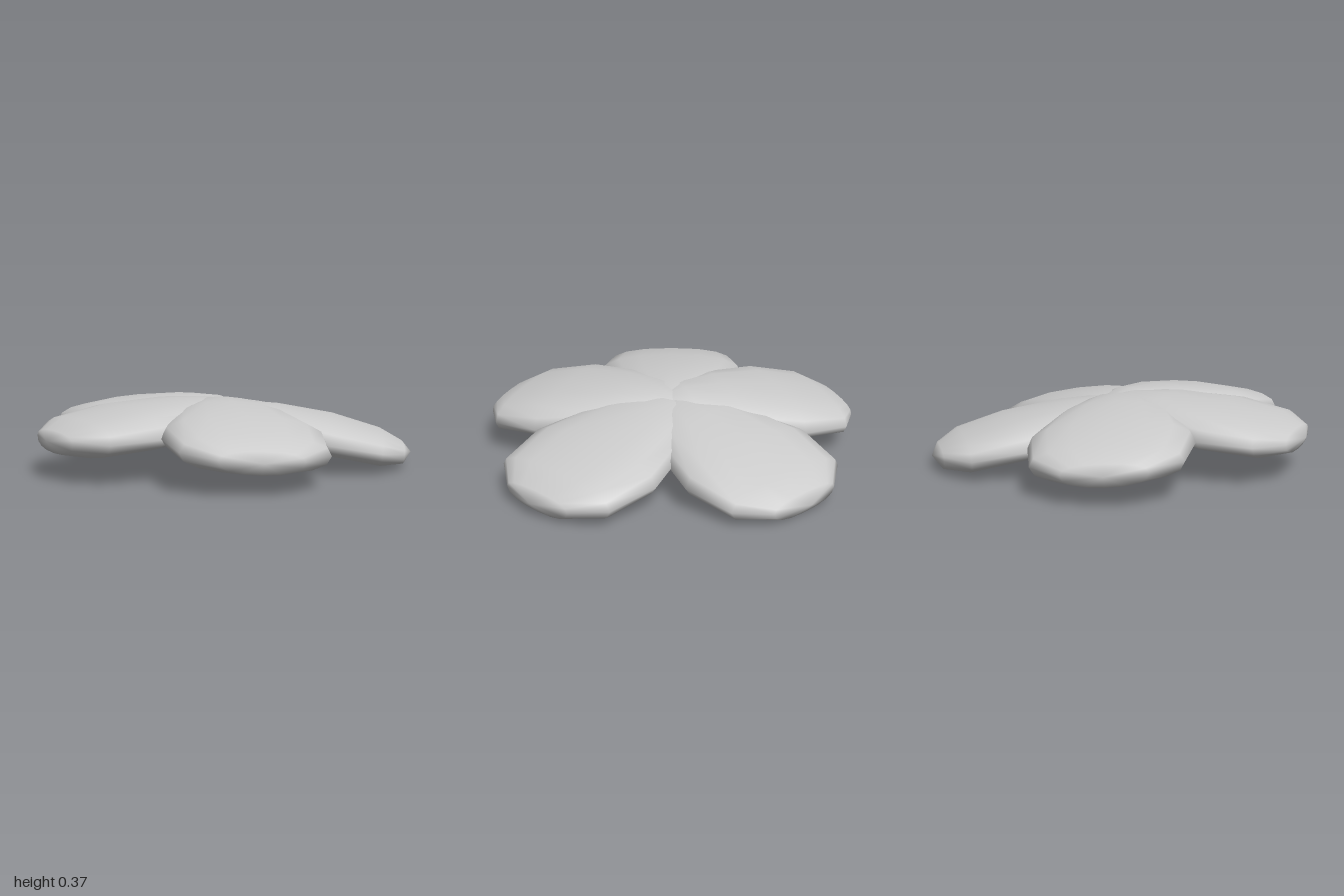
import * as THREE from 'three';
import { mergeVertices } from 'three/addons/utils/BufferGeometryUtils.js';

const material = new THREE.MeshStandardMaterial({ color: 0xcccccc, side: THREE.DoubleSide });

// Builds a smooth surface from a grid of points, closed around each ring
function loft(rows, sides, pointAt) {
  const positions = [], index = [];
  for (let i = 0; i < rows; i++)
    for (let j = 0; j < sides; j++) positions.push(...pointAt(i, (j / sides) * Math.PI * 2));
  for (let i = 0; i < rows - 1; i++)
    for (let j = 0; j < sides; j++) {
      const k = (j + 1) % sides;
      const a = i * sides + j, b = i * sides + k, c = a + sides, d = b + sides;
      index.push(a, b, d, a, d, c);
    }
  let g = new THREE.BufferGeometry();
  g.setAttribute('position', new THREE.Float32BufferAttribute(positions, 3));
  g.setIndex(index);
  g = mergeVertices(g, 1e-4);
  g.computeVertexNormals();
  return g;
}

// Petal cross-sections: distance from centre, half width, rise above and depth below the axis
const PETAL = [
  [-0.12, 0, 0, 0],
  [-0.08, 0.11, 0.065, 0.04],
  [0.08, 0.21, 0.112, 0.06],
  [0.30, 0.33, 0.13, 0.075],
  [0.60, 0.415, 0.126, 0.085],
  [0.865, 0.365, 0.09, 0.092],
  [0.985, 0.205, 0.045, 0.066],
  [1.03, 0, 0, 0],
];

function petalGeometry() {
  const soft = (v) => Math.sign(v) * Math.abs(v) ** 0.85;
  return loft(PETAL.length, 16, (i, t) => {
    const [r, w, up, down] = PETAL[i];
    const s = Math.sin(t);
    return [w * soft(Math.cos(t)), -0.115 * r + (s > 0 ? up : down) * soft(s), r];
  });
}

// Thin cup under the petals, its rim drooping in four lobes
function calyxGeometry() {
  const radii = [0, 0.07, 0.14, 0.2, 0.24, 0.26];
  return loft(radii.length, 32, (i, t) => {
    const k = radii[i] / 0.26;
    const lobe = 0.5 + 0.5 * Math.cos(4 * t);
    const r = radii[i] * (0.94 + 0.06 * lobe);
    return [r * Math.cos(t), -0.08 - k ** 3 * (0.025 + 0.105 * lobe), r * Math.sin(t)];
  });
}

export function createModel() {
  const model = new THREE.Group();
  const flower = new THREE.Group();
  flower.name = 'flower';
  flower.position.set(0.06, 0.24, -0.015);
  flower.rotation.z = -0.06;
  model.add(flower);

  // Heading in degrees from +z towards +x, and lift of each petal
  const petals = [
    ['leftFrontPetal', 50, -0.016],
    ['leftBackPetal', 130.5, -0.022],
    ['backPetal', -159.5, 0.002],
    ['rightPetal', -90, 0],
    ['frontPetal', -22.5, 0.005],
  ];
  const geometry = petalGeometry();
  for (const [name, heading, lift] of petals) {
    const petal = new THREE.Mesh(geometry, material);
    petal.name = name;
    petal.rotation.y = THREE.MathUtils.degToRad(heading);
    petal.position.y = lift;
    flower.add(petal);
  }

  const calyx = new THREE.Mesh(calyxGeometry(), material);
  calyx.name = 'calyx';
  flower.add(calyx);
  return model;
}
